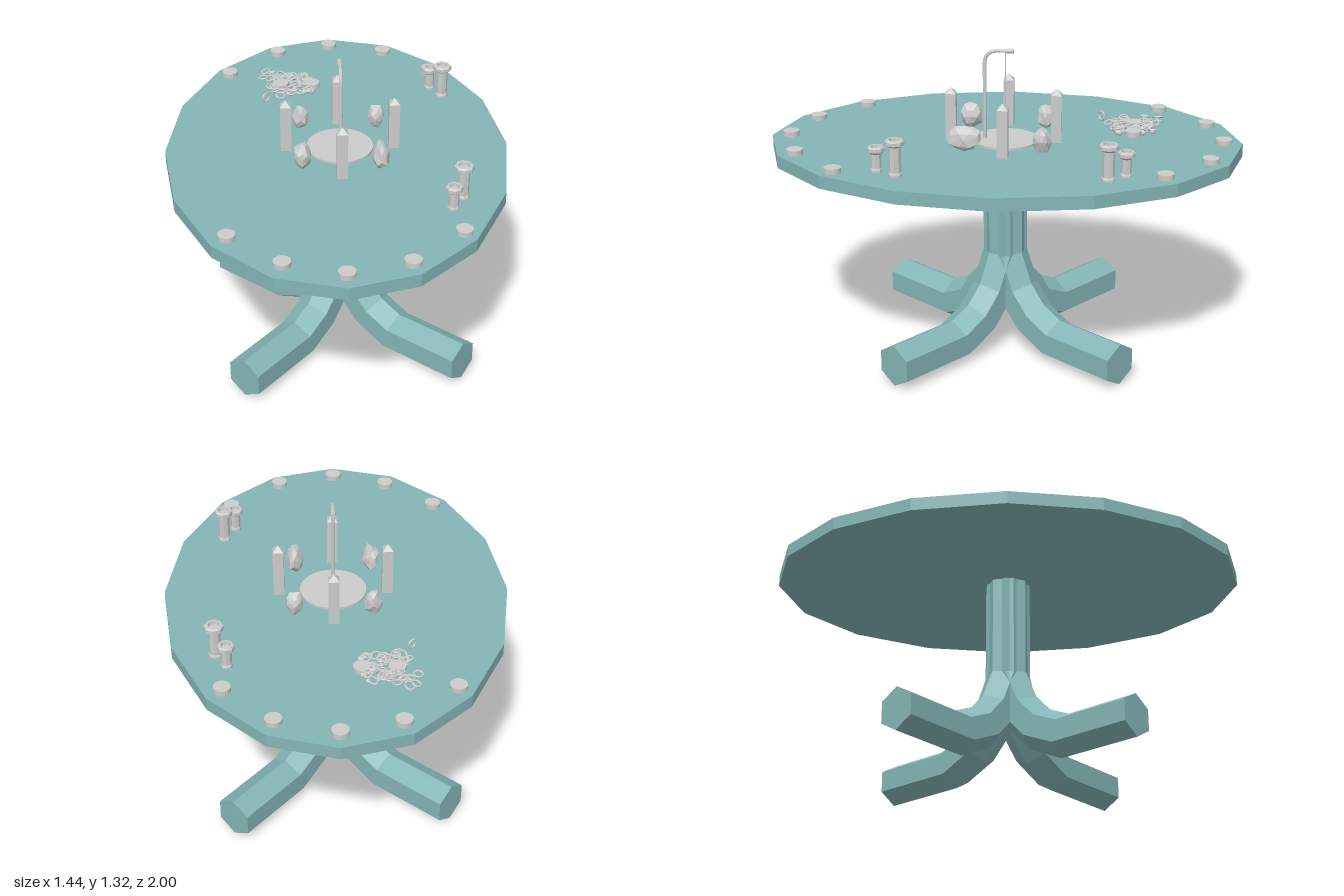
import * as THREE from 'three';

const TOP = 0.915;
const teal = new THREE.MeshStandardMaterial({ color: 0x84b5b6, flatShading: true, side: THREE.DoubleSide });
const grey = new THREE.MeshStandardMaterial({ color: 0xcccccc, flatShading: true, side: THREE.DoubleSide });

function add(parent, name, geo, mat, x = 0, y = 0, z = 0) {
  const m = new THREE.Mesh(geo, mat);
  m.name = name;
  m.position.set(x, y, z);
  parent.add(m);
  return m;
}

// Hexagonal bar swept along a path in the XY plane with mitred bends
function hexBar(path, radius) {
  const pts = path.map(p => new THREE.Vector2(...p));
  const pos = [], idx = [], n = pts.length;
  pts.forEach((p, i) => {
    const a = pts[Math.max(i - 1, 0)], b = pts[Math.min(i + 1, n - 1)];
    const d0 = (i > 0 ? p.clone().sub(a) : b.clone().sub(p)).normalize();
    const d1 = (i < n - 1 ? b.clone().sub(p) : d0.clone()).normalize();
    const t = d0.clone().add(d1).normalize();
    const miter = 1 / t.dot(d0);
    for (let k = 0; k < 6; k++) {
      const u = Math.cos(k * Math.PI / 3) * radius * miter;
      const w = Math.sin(k * Math.PI / 3) * radius;
      pos.push(p.x - t.y * u, p.y + t.x * u, w);
    }
  });
  for (let i = 0; i < n - 1; i++) {
    for (let k = 0; k < 6; k++) {
      const a = i * 6 + k, b = i * 6 + (k + 1) % 6;
      idx.push(a, a + 6, b, b, a + 6, b + 6);
    }
  }
  const e = (n - 1) * 6;
  for (let k = 1; k < 5; k++) idx.push(0, k, k + 1, e, e + k + 1, e + k);
  const g = new THREE.BufferGeometry();
  g.setAttribute('position', new THREE.Float32BufferAttribute(pos, 3));
  g.setIndex(idx);
  const flat = g.toNonIndexed();
  flat.computeVertexNormals();
  return flat;
}

function rng(seed) {
  return () => (seed = (seed * 16807) % 2147483647) / 2147483647;
}

// Faceted stone: a coarse ball whose vertices are pushed in and out by a rule
function stoneGeo(sx, sy, sz, k) {
  const g = new THREE.IcosahedronGeometry(1, 1);
  const p = g.attributes.position;
  for (let i = 0; i < p.count; i++) {
    const x = p.getX(i), y = p.getY(i), z = p.getZ(i);
    const s = 0.95 + 0.09 * Math.sin(5 * x + 3 * y + k) + 0.06 * Math.cos(6 * z - 2 * y + k);
    p.setXYZ(i, x * s * sx, y * s * sy, z * s * sz);
  }
  g.computeVertexNormals();
  return g;
}

export function createModel() {
  const root = new THREE.Group();
  root.name = 'table';

  // Sixteen-sided oval top
  const top = add(root, 'tableTop', new THREE.CylinderGeometry(1, 1, 0.055, 16), teal, 0, TOP - 0.0275, 0);
  top.scale.x = 0.72;

  // Four curved legs sharing one central column
  const legs = new THREE.Group();
  legs.name = 'legs';
  legs.position.set(0.017, 0, 0);
  root.add(legs);
  const legPath = [[0.008, 0.88], [0.008, 0.41], [0.08, 0.25], [0.175, 0.15], [0.305, 0.091], [0.66, 0.091]];
  const legGeo = hexBar(legPath, 0.091);
  for (let i = 0; i < 4; i++) add(legs, 'leg', legGeo, teal).rotation.y = -0.705 + i * Math.PI / 2;

  // Small round tokens along the rim and by the chain
  const tokenGeo = new THREE.CylinderGeometry(0.035, 0.035, 0.022, 16);
  [[0, -0.92], [-0.24, -0.86], [0.25, -0.85], [-0.46, -0.66], [0.45, -0.66], [-0.45, 0.66],
    [0.465, 0.66], [-0.24, 0.845], [0.25, 0.855], [0, 0.92], [-0.23, -0.54], [-0.09, -0.54]]
    .forEach(([x, z]) => add(root, 'token', tokenGeo, grey, x, TOP + 0.011, z));

  // Central plate
  add(root, 'plate', new THREE.CylinderGeometry(0.14, 0.14, 0.01, 32), grey, 0.013, TOP + 0.005, 0);

  // Hooked stand with a hanging thread and point
  const stand = new THREE.CurvePath();
  const v = (y, z) => new THREE.Vector3(0.013, y, z);
  stand.add(new THREE.LineCurve3(v(TOP, 0.087), v(1.25, 0.087)));
  stand.add(new THREE.CubicBezierCurve3(v(1.25, 0.087), v(1.29, 0.087), v(1.305, 0.065), v(1.305, 0.03)));
  stand.add(new THREE.LineCurve3(v(1.305, 0.03), v(1.305, -0.035)));
  add(root, 'stand', new THREE.TubeGeometry(stand, 48, 0.008, 8), grey);
  add(root, 'standTip', new THREE.CylinderGeometry(0.011, 0.011, 0.03, 8), grey, 0.013, 1.305, -0.02).rotation.x = Math.PI / 2;
  add(root, 'thread', new THREE.CylinderGeometry(0.002, 0.002, 0.37, 6), grey, 0.013, 1.12, 0);
  add(root, 'pendulumPoint', new THREE.ConeGeometry(0.007, 0.03, 6), grey, 0.013, 0.945, 0).rotation.x = Math.PI;

  // Four square pillars with pointed tips
  [[0.013, -0.215], [0.013, 0.23], [-0.213, 0], [0.24, -0.003]].forEach(([x, z]) => {
    const g = new THREE.Group();
    g.name = 'pillar';
    g.position.set(x, TOP, z);
    root.add(g);
    add(g, 'shaft', new THREE.BoxGeometry(0.045, 0.205, 0.045), grey, 0, 0.1025, 0);
    add(g, 'tip', new THREE.ConeGeometry(0.0318, 0.025, 4), grey, 0, 0.2175, 0).rotation.y = Math.PI / 4;
  });

  // Stones between the pillars
  [[-0.148, -0.163, 0.038, 0.058, 0.036], [0.173, -0.163, 0.037, 0.056, 0.04],
    [-0.148, 0.16, 0.038, 0.06, 0.052], [0.176, 0.16, 0.038, 0.058, 0.072]]
    .forEach(([x, z, sx, sy, sz], i) => add(root, 'stone', stoneGeo(sx, sy, sz, i * 2), grey, x, TOP + sy, z));

  // Eight-sided candlesticks, two by two
  const candlestick = (h, r) => new THREE.LatheGeometry([
    [0, 0], [r * 0.72, 0], [r * 0.72, 0.008], [r * 0.62, 0.016], [r * 0.62, h - 0.03], [r, h - 0.02],
    [r, h - 0.006], [r * 0.85, h], [r * 0.6, h], [r * 0.55, h - 0.015], [0, h - 0.015]
  ].map(([x, y]) => new THREE.Vector2(x, y)), 8);
  [[0.44, 0.487, 0.105, 0.035], [0.486, 0.405, 0.15, 0.04], [0.438, -0.505, 0.105, 0.035], [0.486, -0.435, 0.15, 0.04]]
    .forEach(([x, z, h, r]) => add(root, 'candlestick', candlestick(h, r), grey, x, TOP, z));

  // Heap of chain links and beads
  const rand = rng(77);
  const chain = new THREE.Group();
  chain.name = 'chain';
  root.add(chain);
  const linkGeo = new THREE.TorusGeometry(0.019, 0.004, 6, 12);
  const beadGeo = new THREE.IcosahedronGeometry(0.011, 1);
  const centres = [[-0.27, -0.61], [-0.16, -0.59], [-0.22, -0.49], [-0.14, -0.51]];
  for (let i = 0; i < 44; i++) {
    const [cx, cz] = centres[i % 4], a = rand() * Math.PI * 2, d = 0.055 * Math.sqrt(rand());
    const x = cx + d * Math.cos(a), z = cz + d * Math.sin(a);
    const link = add(chain, 'link', linkGeo, grey, x, TOP + 0.009 + rand() * 0.014, z);
    link.rotation.set(Math.PI / 2 + (rand() - 0.5) * 0.7, (rand() - 0.5) * 0.7, 0);
    if (i % 2) add(chain, 'bead', beadGeo, grey, x + 0.019, TOP + 0.011, z);
  }
  // One ring standing on edge beside the heap
  add(chain, 'ring', linkGeo, grey, -0.295, TOP + 0.023, -0.405).rotation.y = 0.7;

  return root;
}
